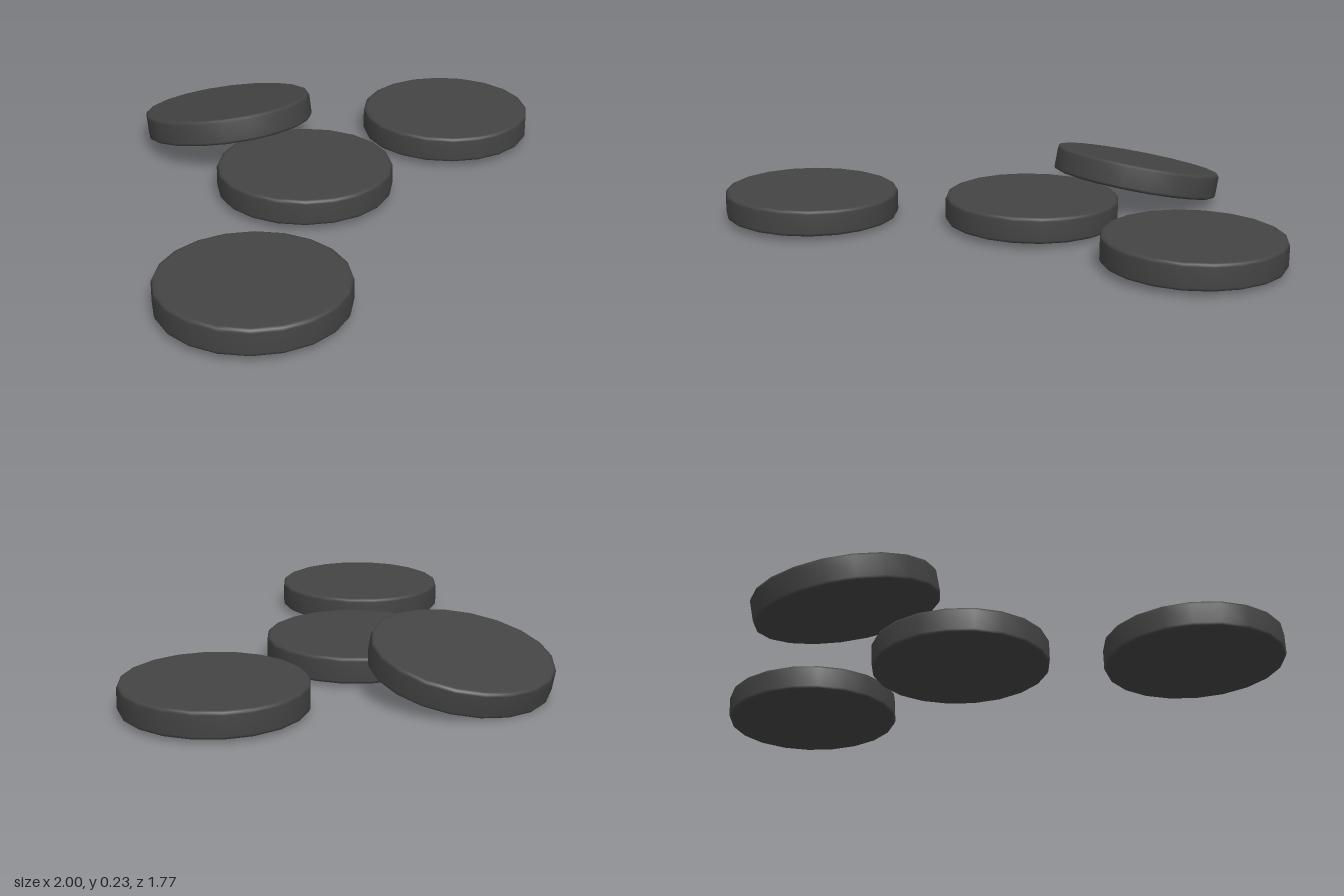
import * as THREE from 'three';

const RADIUS = 0.325;
const HALF = 0.048;
const BEVEL = 0.012;

// Twenty-sided disc with a narrow rounded rim, centred on its own middle
function discGeometry() {
  const profile = [
    [0, -HALF],
    [RADIUS - BEVEL - 0.006, -HALF],
    [RADIUS - BEVEL, -HALF],
    [RADIUS - BEVEL * 0.3, -HALF + BEVEL * 0.3],
    [RADIUS, -HALF + BEVEL],
    [RADIUS, HALF - BEVEL],
    [RADIUS - BEVEL * 0.3, HALF - BEVEL * 0.3],
    [RADIUS - BEVEL, HALF],
    [RADIUS - BEVEL - 0.006, HALF],
    [0, HALF],
  ].map(([r, y]) => new THREE.Vector2(r, y));
  return new THREE.LatheGeometry(profile, 20);
}

export function createModel() {
  const group = new THREE.Group();
  group.name = 'scatteredDiscs';
  const geometry = discGeometry();
  const material = new THREE.MeshStandardMaterial({ color: 0x444444 });

  // Three discs lie almost flat; the last leans on the middle one
  const discs = [
    { name: 'rightDisc', at: [-0.677, 0.064, 0.56], tilt: -0.016 },
    { name: 'middleDisc', at: [-0.075, 0.064, -0.03], tilt: -0.016 },
    { name: 'leftDisc', at: [0.673, 0.064, -0.132], tilt: -0.016 },
    { name: 'leaningDisc', at: [-0.075, 0.117, -0.563], tilt: -0.228 },
  ];
  for (const { name, at, tilt } of discs) {
    const disc = new THREE.Mesh(geometry, material);
    disc.name = name;
    disc.position.set(...at);
    disc.rotation.set(tilt, 0.04, -0.011);
    group.add(disc);
  }
  return group;
}
